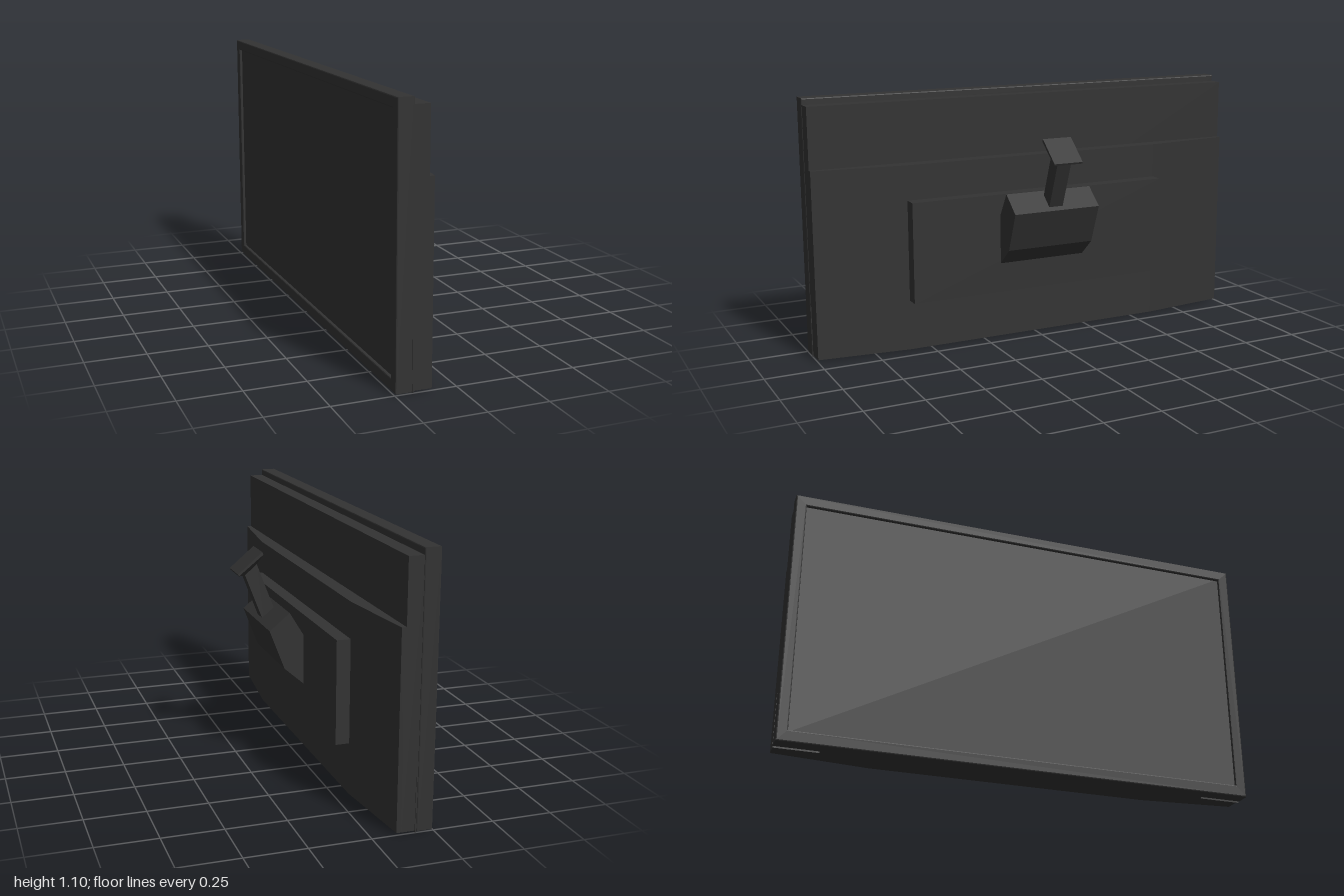
import * as THREE from 'three';

const dark = new THREE.MeshStandardMaterial({ color: 0x333333 });

function add(group, name, geometry) {
  const mesh = new THREE.Mesh(geometry, dark);
  mesh.name = name;
  group.add(mesh);
  return mesh;
}

// Box given by its min and max corners
function box([x0, y0, z0], [x1, y1, z1]) {
  return new THREE.BoxGeometry(x1 - x0, y1 - y0, z1 - z0)
    .translate((x0 + x1) / 2, (y0 + y1) / 2, (z0 + z1) / 2);
}

const toShape = pts => new THREE.Shape(pts.map(p => new THREE.Vector2(...p)));

function rectPoints(w, y0, y1) {
  return [[-w, y0], [w, y0], [w, y1], [-w, y1]];
}

// Loft through four-cornered sections: [upper x, y], [lower x, y], half depth in z
function loft(sections) {
  const rings = sections.map(([a, b, h]) => [[...a, h], [...b, h], [...b, -h], [...a, -h]]);
  const pos = [];
  const quad = (a, b, c, d) => pos.push(...a, ...b, ...c, ...a, ...c, ...d);
  for (let i = 0; i < rings.length - 1; i++) {
    for (let j = 0; j < 4; j++) {
      const k = (j + 1) % 4;
      quad(rings[i][j], rings[i][k], rings[i + 1][k], rings[i + 1][j]);
    }
  }
  const first = rings[0], last = rings[rings.length - 1];
  quad(first[3], first[2], first[1], first[0]);
  quad(...last);
  const geo = new THREE.BufferGeometry();
  geo.setAttribute('position', new THREE.Float32BufferAttribute(pos, 3));
  geo.computeVertexNormals();
  return geo;
}

export function createModel() {
  const model = new THREE.Group();

  // Screen frame with softened edges, facing -x
  const bevel = 0.005;
  const frame = toShape(rectPoints(1 - bevel, 0.005 + bevel, 1.098 - bevel));
  frame.holes.push(new THREE.Path(
    rectPoints(0.96, 0.048, 1.058).reverse().map(p => new THREE.Vector2(...p))));
  add(model, 'screenFrame', new THREE.ExtrudeGeometry(frame, {
    depth: 0.067 - 2 * bevel, bevelEnabled: true, bevelSize: bevel,
    bevelThickness: bevel, bevelSegments: 2,
  }).rotateY(Math.PI / 2).translate(-0.247 + bevel, 0, 0));

  // Recessed panel and rear casing
  add(model, 'screenPanel', box([-0.234, 0.04, -0.97], [-0.18, 1.07, 0.97]));
  add(model, 'casing', box([-0.182, 0.007, -0.997], [-0.119, 1.07, 0.997]));

  // Lower rear housing, tapering towards both ends
  const plan = toShape([[-0.13, -0.997], [-0.1, -0.997], [-0.058, -0.6],
    [-0.058, 0.6], [-0.1, 0.997], [-0.13, 0.997]]);
  add(model, 'rearHousing', new THREE.ExtrudeGeometry(plan, { depth: 0.803, bevelEnabled: false })
    .rotateX(-Math.PI / 2).translate(0, 0.007, 0));

  // Thin trim strips wrapping the two lower corners
  for (const s of [-1, 1]) {
    const corner = new THREE.Group();
    corner.name = s > 0 ? 'leftTrim' : 'rightTrim';
    const span = (a, b) => [Math.min(s * a, s * b), Math.max(s * a, s * b)];
    const [u0, u1] = span(0.99, 1);
    add(corner, 'sideStrip', box([-0.179, 0.001, u0], [-0.174, 0.225, u1]));
    const [b0, b1] = span(0.82, 1);
    add(corner, 'bottomStrip', box([-0.179, 0, b0], [-0.174, 0.02, b1]));
    model.add(corner);
  }

  // Wall-mount plate
  add(model, 'mountPlate', box([-0.065, 0.225, -0.6], [0, 0.66, 0.6]));

  // Angled bracket
  const bracket = toShape([[-0.01, 0.347], [0, 0.355], [0.085, 0.43], [0.15, 0.6],
    [0.062, 0.672], [0, 0.57], [-0.01, 0.555]]);
  add(model, 'bracket', new THREE.ExtrudeGeometry(bracket, { depth: 0.4, bevelEnabled: false })
    .translate(0, 0, -0.2));

  // Slanted arm and its flared foot
  add(model, 'arm', loft([
    [[0.071, 0.63], [0.125, 0.593], 0.032],
    [[0.155, 0.853], [0.207, 0.807], 0.032],
  ]));
  add(model, 'flaredFoot', loft([
    [[0.153, 0.853], [0.207, 0.807], 0.032],
    [[0.135, 0.898], [0.243, 0.812], 0.066],
    [[0.14, 0.91], [0.247, 0.82], 0.066],
  ]));

  return model;
}
